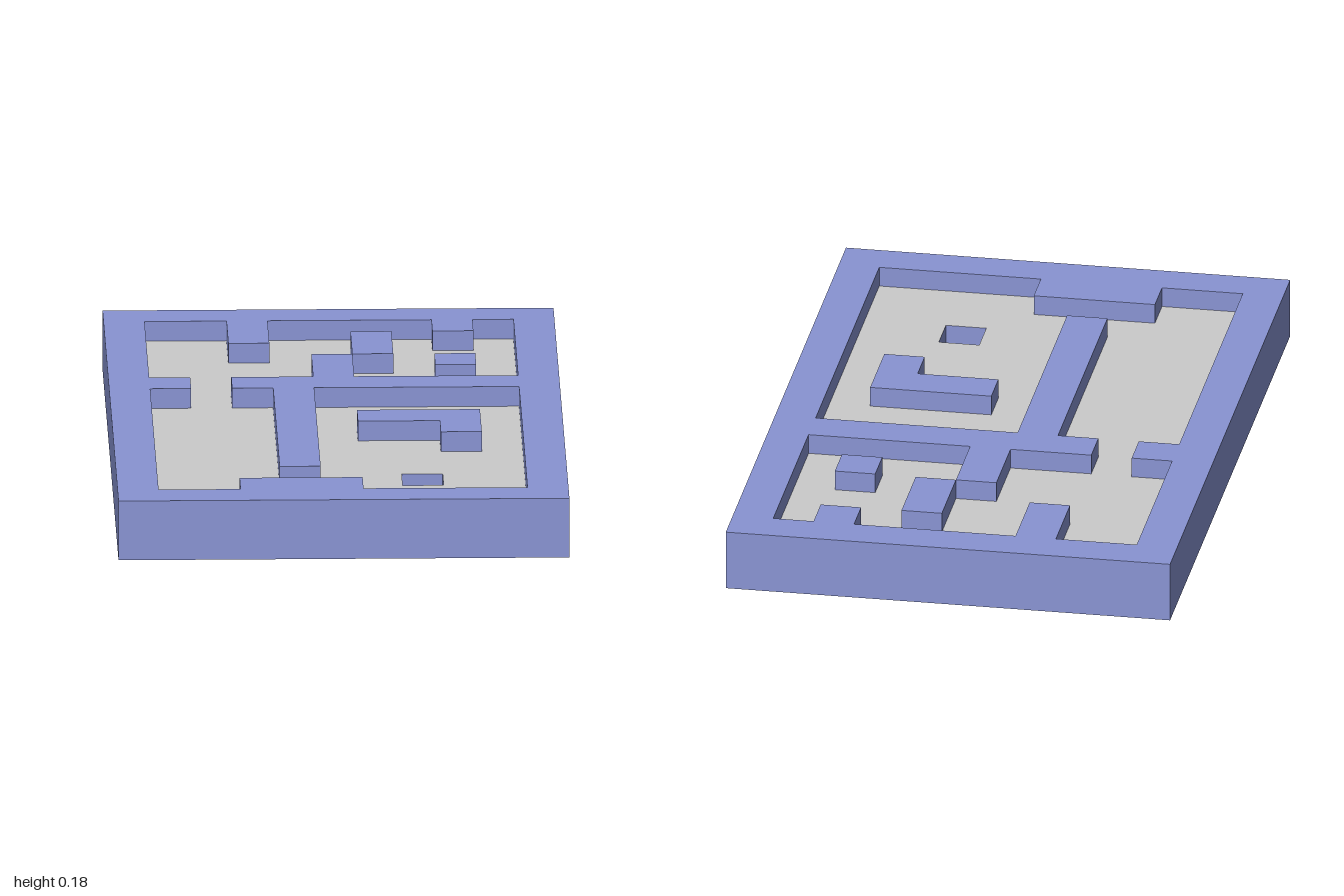
import * as THREE from 'three';

// The plan is a grid of 11 x 17 square cells
const COLS = 11, ROWS = 17, CELL = 2 / ROWS;
// Heights of the three layers
const BASE_TOP = CELL * 0.5, FLOOR_TOP = CELL, WALL_TOP = CELL * 1.5;

// Corner points in cells: column from the left edge, row from the back edge
const points = (corners) => corners.map(([c, r]) =>
  new THREE.Vector2((c - COLS / 2) * CELL, (r - ROWS / 2) * CELL));
const rect = (c, r, w, d) => [[c, r], [c + w, r], [c + w, r + d], [c, r + d]];

// Solid slab with a plan outline, optional hole, between two heights
function slab(name, outline, bottom, top, material, hole) {
  const shape = new THREE.Shape(points(outline));
  if (hole) shape.holes.push(new THREE.Path(points(hole)));
  const geometry = new THREE.ExtrudeGeometry(shape, { depth: top - bottom, bevelEnabled: false });
  geometry.rotateX(Math.PI / 2).translate(0, top, 0);
  const mesh = new THREE.Mesh(geometry, material);
  mesh.name = name;
  return mesh;
}

export function createModel() {
  const blue = new THREE.MeshStandardMaterial({ color: 0x8994d3 });
  const grey = new THREE.MeshStandardMaterial({ color: 0xcccccc });
  const group = new THREE.Group();
  group.name = 'mazeBoard';

  const full = rect(0, 0, COLS, ROWS);
  // Sunken area inside the border, running around every attached wall
  const room = [
    [1, 1], [3, 1], [3, 3], [4, 3], [4, 1], [8, 1], [8, 2], [9, 2], [9, 1], [10, 1],
    [10, 6], [6, 6], [6, 4], [5, 4], [5, 6], [3, 6], [3, 7], [4, 7], [4, 14], [5, 14],
    [5, 7], [10, 7], [10, 16], [6, 16], [6, 15], [3, 15], [3, 16], [1, 16],
    [1, 7], [2, 7], [2, 6], [1, 6],
  ];

  group.add(
    slab('base', full, 0, BASE_TOP, blue),
    slab('borderAndWalls', full, BASE_TOP, WALL_TOP, blue, room),
    // Grey floor with a one-cell pit whose sides are blue
    slab('floor', room, BASE_TOP, FLOOR_TOP, [grey, blue], rect(7, 13, 1, 1)),
  );

  // Free-standing blocks
  const blocks = {
    longBlock: rect(6, 2, 1, 2),
    smallBlock: rect(8, 4, 1, 1),
    cornerBlock: [[6, 9], [9, 9], [9, 11], [8, 11], [8, 10], [6, 10]],
  };
  for (const [name, outline] of Object.entries(blocks)) {
    group.add(slab(name, outline, FLOOR_TOP, WALL_TOP, blue));
  }
  return group;
}
